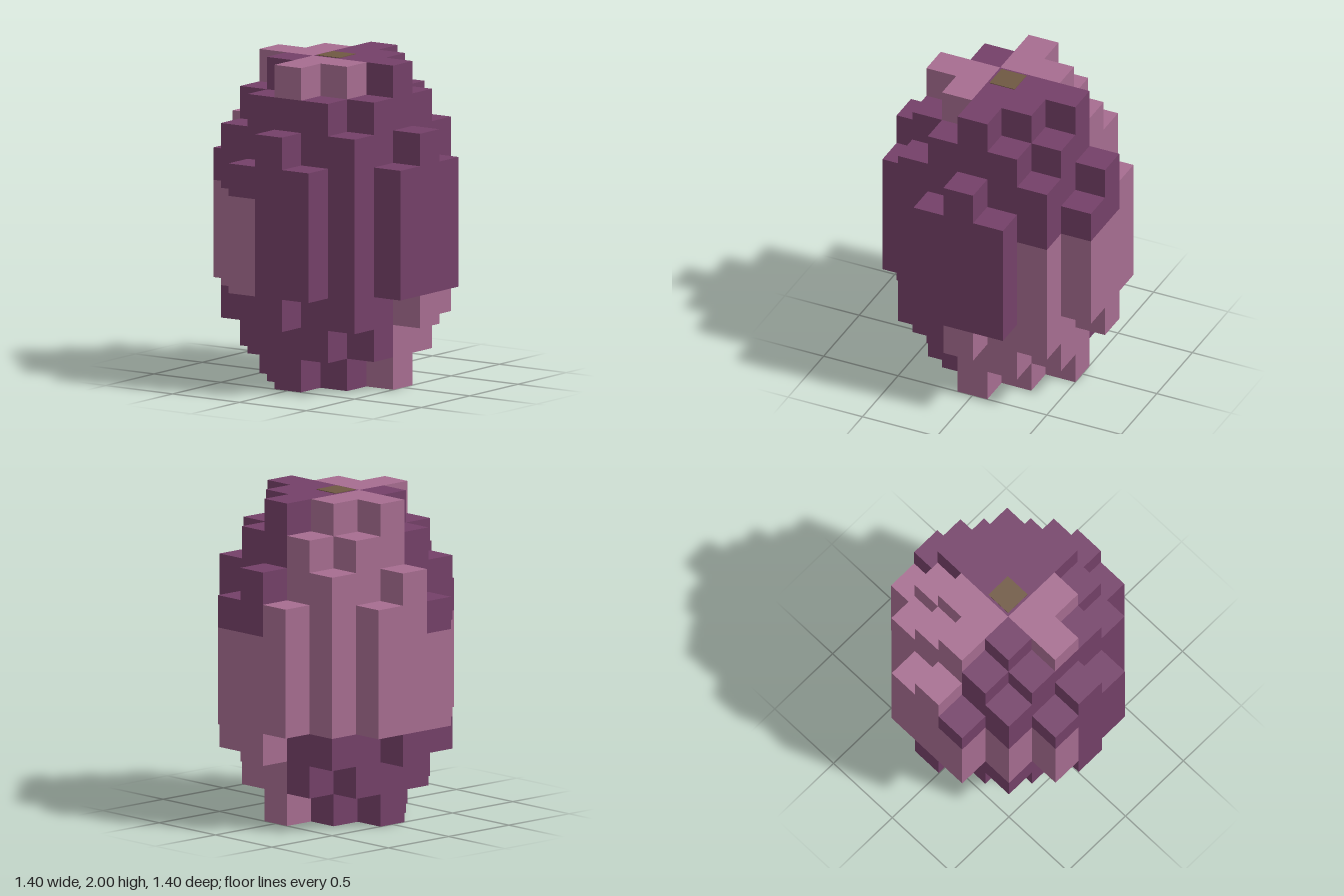
import * as THREE from 'three';
import { mergeGeometries } from 'three/addons/utils/BufferGeometryUtils.js';

const S = 0.2;        // cell width
const H = 0.1996;     // cell height
// squared disc radius, in cells, of each layer from the ground up
const DISC = [4, 5, 9, 10, 10, 10, 10, 9, 5, 4];
// light patches: three-cell blocks, keyed by x block, z block, y block
const LIGHT = new Set(['001', '002', '011', '012', '013', '021', '100', '101', '110', '111', '123', '210']);

const filled = (i, j, k) => j >= 0 && j < DISC.length && i * i + k * k <= DISC[j];
const isLight = (i, j, k) =>
  LIGHT.has(`${Math.floor((i + 3) / 3)}${Math.floor((k + 5) / 3)}${Math.floor(j / 3)}`);

// one face of a cell for each direction
const SIDES = [[1, 0, 0], [-1, 0, 0], [0, 1, 0], [0, -1, 0], [0, 0, 1], [0, 0, -1]].map((dir) => {
  const face = new THREE.PlaneGeometry(1, 1).translate(0, 0, 0.5);
  face.applyQuaternion(new THREE.Quaternion().setFromUnitVectors(
    new THREE.Vector3(0, 0, 1), new THREE.Vector3(...dir)));
  if (dir[2] === -1) face.copy(new THREE.PlaneGeometry(1, 1).translate(0, 0, 0.5).rotateY(Math.PI));
  return { dir, face: face.scale(S, H, S) };
});

// outer faces of all cells of one colour
function shell(light) {
  const faces = [];
  for (let j = 0; j < DISC.length; j++) {
    for (let i = -3; i <= 3; i++) {
      for (let k = -3; k <= 3; k++) {
        if (!filled(i, j, k) || isLight(i, j, k) !== light) continue;
        for (const { dir: [dx, dy, dz], face } of SIDES) {
          if (filled(i + dx, j + dy, k + dz)) continue;
          faces.push(face.clone().translate(i * S, (j + 0.5) * H, k * S));
        }
      }
    }
  }
  return mergeGeometries(faces);
}

export function createModel() {
  const plum = new THREE.MeshStandardMaterial({ color: 0x744068 });
  const mauve = new THREE.MeshStandardMaterial({ color: 0xa66d90 });
  const brown = new THREE.MeshStandardMaterial({ color: 0x6f5842 });
  plum.name = 'plum';
  mauve.name = 'mauve';
  brown.name = 'brown';

  const model = new THREE.Group();
  model.name = 'blockyFruit';
  const add = (name, geometry, material) => {
    const mesh = new THREE.Mesh(geometry, material);
    mesh.name = name;
    model.add(mesh);
    return mesh;
  };

  // skin in two tones
  add('darkSkin', shell(false), plum);
  add('lightSkin', shell(true), mauve);

  // thin stem scar on top
  const top = DISC.length * H;
  add('stemScar', new THREE.BoxGeometry(0.168, 2 - top, 0.168), brown).position.y = (top + 2) / 2;
  return model;
}
